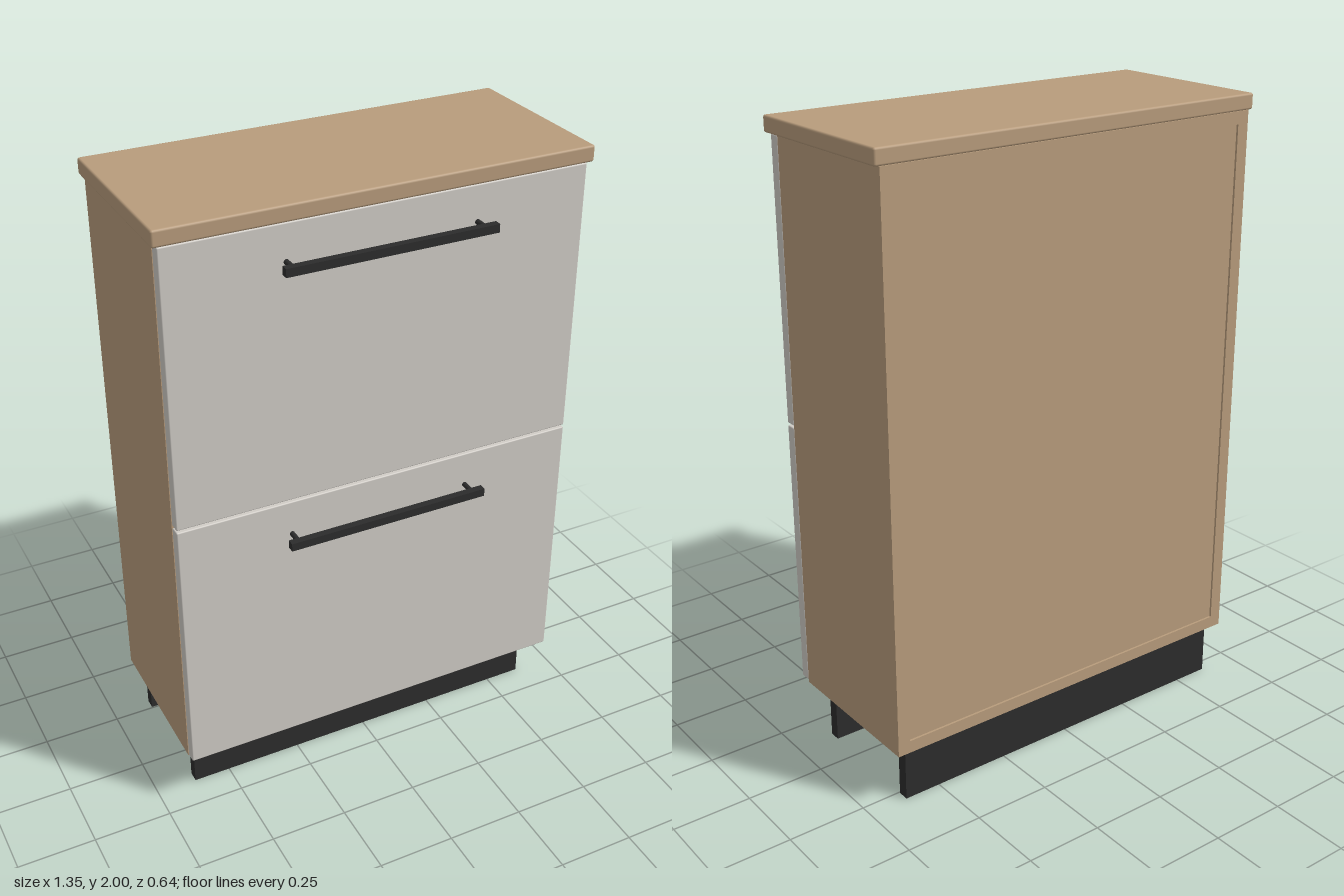
import * as THREE from 'three';
import { RoundedBoxGeometry } from 'three/addons/geometries/RoundedBoxGeometry.js';

const wood = new THREE.MeshStandardMaterial({ color: 0xb89c7c });
const paint = new THREE.MeshStandardMaterial({ color: 0xd0ccc6 });
const black = new THREE.MeshStandardMaterial({ color: 0x2c2c2c });

// Box given by its extents on each axis; a radius softens the edges
function panel(parent, name, material, [x0, x1], [y0, y1], [z0, z1], radius = 0) {
  const size = [x1 - x0, y1 - y0, z1 - z0];
  const geometry = radius ? new RoundedBoxGeometry(...size, 2, radius) : new THREE.BoxGeometry(...size);
  const mesh = new THREE.Mesh(geometry, material);
  mesh.name = name;
  mesh.position.set((x0 + x1) / 2, (y0 + y1) / 2, (z0 + z1) / 2);
  parent.add(mesh);
  return mesh;
}

// Square bar on two round posts
function createHandle(y) {
  const handle = new THREE.Group();
  handle.name = 'handle';
  panel(handle, 'handleBar', black, [-0.33, 0.33], [-0.013, 0.013], [0.295, 0.318]);
  for (const side of [-1, 1]) {
    const post = new THREE.Mesh(new THREE.CylinderGeometry(0.008, 0.008, 0.05, 16), black);
    post.name = 'handlePost';
    post.rotation.x = Math.PI / 2;
    post.position.set(side * 0.298, 0, 0.272);
    handle.add(post);
  }
  handle.position.y = y;
  return handle;
}

export function createModel() {
  const model = new THREE.Group();
  model.name = 'drawerCabinet';

  const W = 0.66, T = 0.04, bottom = 0.18, top = 1.95, back = -0.318, front = 0.211;

  // Carcass: sides, floor, rail boards and a slightly recessed back
  const carcass = new THREE.Group();
  carcass.name = 'carcass';
  panel(carcass, 'rightSide', wood, [-W, -W + T], [bottom, top], [back, front]);
  panel(carcass, 'leftSide', wood, [W - T, W], [bottom, top], [back, front]);
  panel(carcass, 'floor', wood, [-W + T, W - T], [bottom, bottom + T], [back, front]);
  panel(carcass, 'topBoard', wood, [-W + T, W - T], [top - T, top], [back, front]);
  panel(carcass, 'middleRail', wood, [-W + T, W - T], [1.045, 1.085], [0.1, front]);
  panel(carcass, 'backPanel', wood, [-W + T, W - T], [bottom + T, top - T], [back + 0.007, back + 0.025]);
  model.add(carcass);

  // Worktop with softened edges
  panel(model, 'worktop', wood, [-0.677, 0.677], [top, 2], [-0.32, 0.26], 0.007);

  // Two drawer fronts with handles
  for (const [y0, y1] of [[0.186, 1.062], [1.07, 1.946]]) {
    const drawer = new THREE.Group();
    drawer.name = 'drawer';
    panel(drawer, 'drawerFront', paint, [-W, W], [y0, y1], [0.214, 0.25], 0.004);
    drawer.add(createHandle(y1 - 0.112));
    model.add(drawer);
  }

  // Front and rear plinth boards
  panel(model, 'frontPlinth', black, [-0.62, 0.62], [0, bottom], [0.112, 0.148]);
  panel(model, 'rearPlinth', black, [-0.62, 0.62], [0, bottom], [-0.29, -0.254]);

  return model;
}
